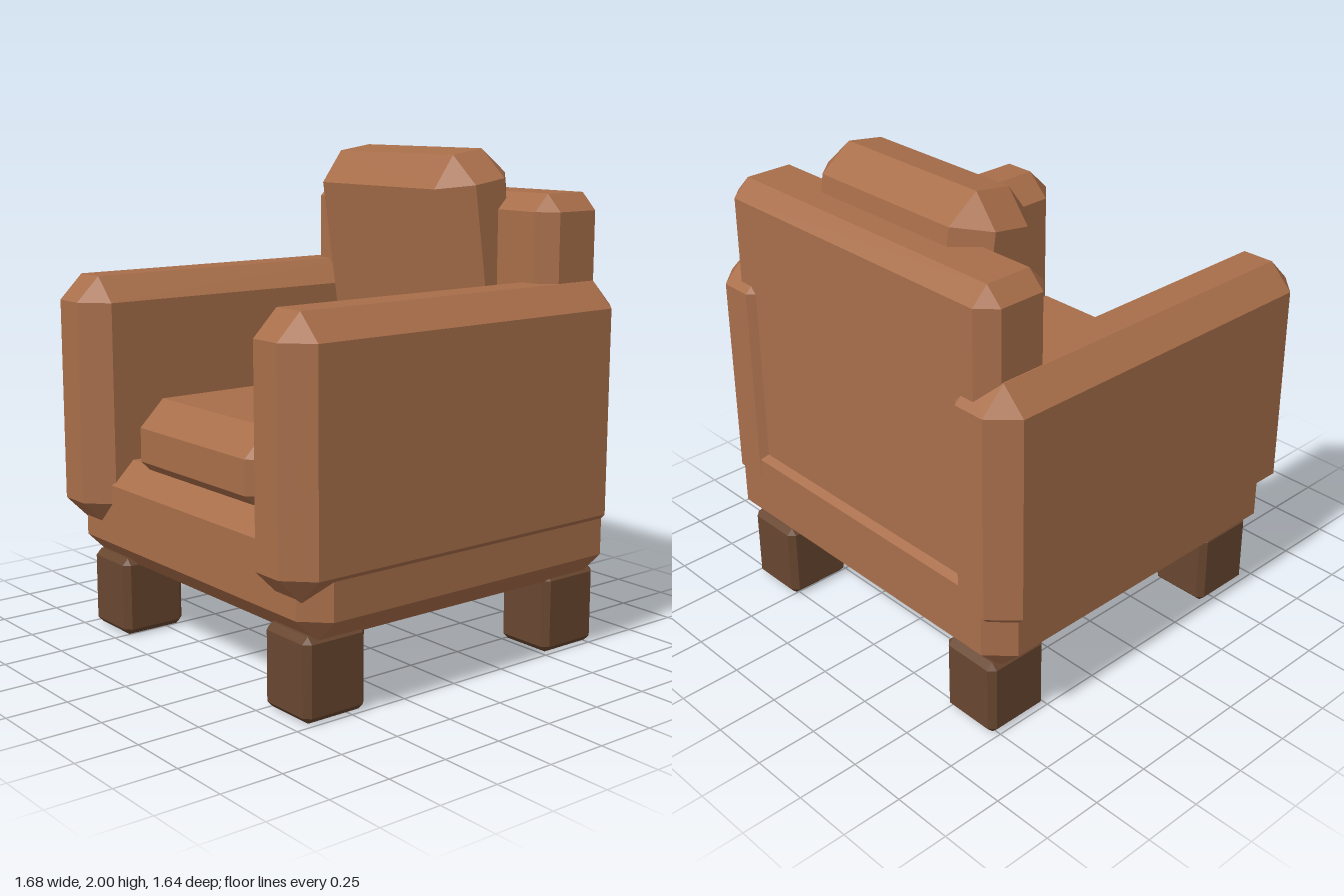
import * as THREE from 'three';
import { ConvexGeometry } from 'three/addons/geometries/ConvexGeometry.js';

// Box with every edge cut at 45 degrees: three points per corner, wrapped in a hull
function chamferBox(w, h, d, c) {
  const [x, y, z] = [w / 2, h / 2, d / 2];
  const points = [];
  for (const sx of [-1, 1]) for (const sy of [-1, 1]) for (const sz of [-1, 1]) {
    points.push(
      new THREE.Vector3(sx * x, sy * (y - c), sz * (z - c)),
      new THREE.Vector3(sx * (x - c), sy * y, sz * (z - c)),
      new THREE.Vector3(sx * (x - c), sy * (y - c), sz * z),
    );
  }
  return new ConvexGeometry(points);
}

export function createModel() {
  const group = new THREE.Group();
  const leather = new THREE.MeshStandardMaterial({ name: 'tan leather', color: 0xa86e4a });
  const wood = new THREE.MeshStandardMaterial({ name: 'dark wood', color: 0x68462f });

  // Adds a chamfered block spanning the given ranges
  function block(name, [x0, x1], [y0, y1], [z0, z1], chamfer, material) {
    const mesh = new THREE.Mesh(chamferBox(x1 - x0, y1 - y0, z1 - z0, chamfer), material);
    mesh.position.set((x0 + x1) / 2, (y0 + y1) / 2, (z0 + z1) / 2);
    mesh.name = name;
    group.add(mesh);
    return mesh;
  }

  // Upholstered frame
  block('base', [-0.82, 0.82], [0.3, 0.74], [-0.82, 0.735], 0.096, leather);
  block('backrest', [-0.735, 0.735], [0.5, 1.835], [-0.795, -0.465], 0.068, leather);

  // Cushions; the back one tips forward at the top
  block('seatCushion', [-0.465, 0.465], [0.66, 1.012], [-0.47, 0.69], 0.107, leather);
  const cushion = block('backCushion', [-0.465, 0.465], [0.951, 1.996], [-0.673, -0.288], 0.115, leather);
  cushion.position.set(0, 1.473, -0.48);
  cushion.rotation.x = THREE.MathUtils.degToRad(8.5);

  // Arms and legs, mirrored
  for (const side of [-1, 1]) {
    const label = side > 0 ? 'left' : 'right';
    const span = (a, b) => (side > 0 ? [a, b] : [-b, -a]);
    block(label + 'Arm', span(0.505, 0.84), [0.465, 1.492], [-0.822, 0.822], 0.1, leather);
    block(label + 'FrontLeg', span(0.48, 0.742), [0, 0.325], [0.42, 0.702], 0.025, wood);
    block(label + 'BackLeg', span(0.48, 0.742), [0, 0.325], [-0.785, -0.503], 0.025, wood);
  }
  return group;
}
